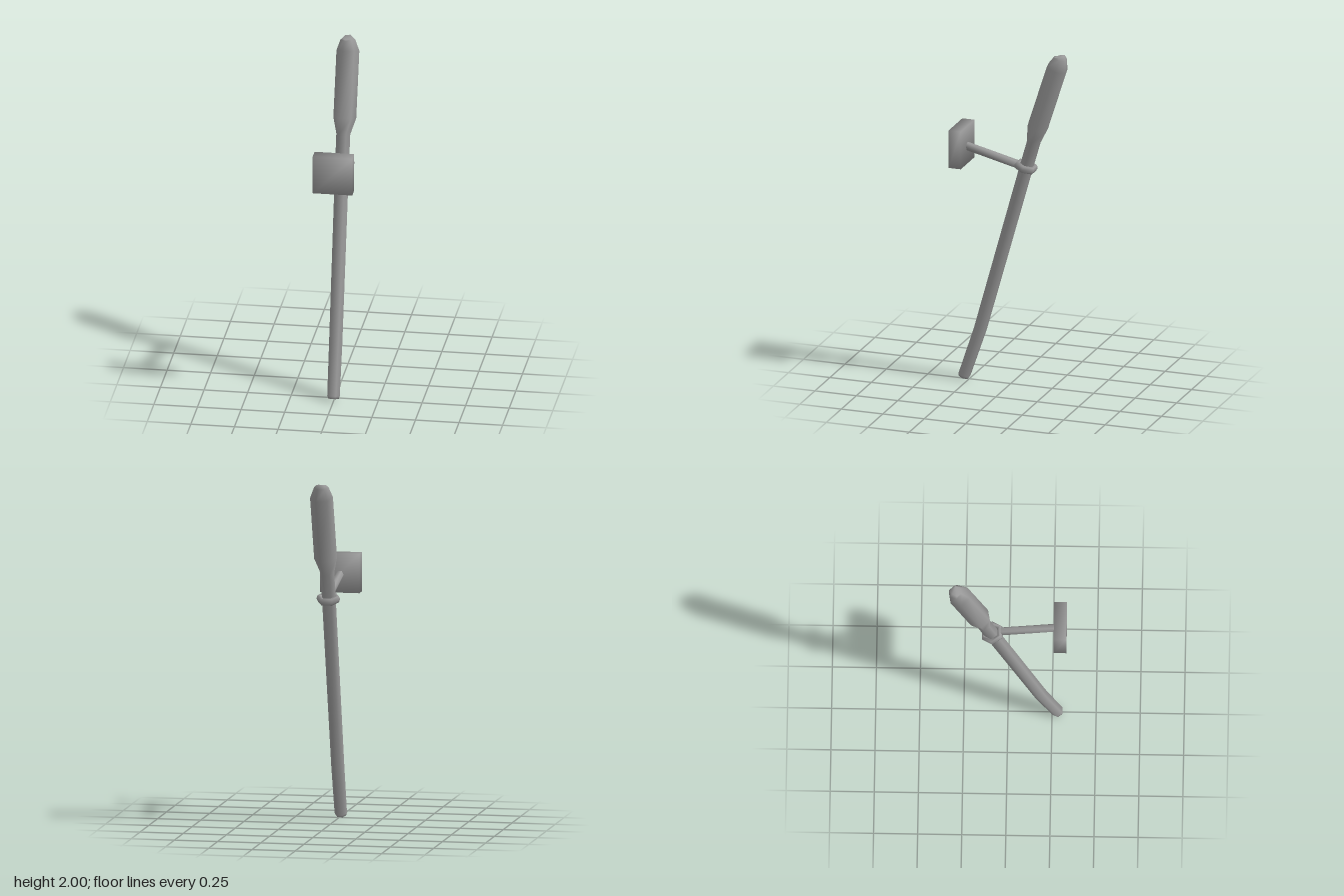
import * as THREE from 'three';
import { mergeVertices } from 'three/addons/utils/BufferGeometryUtils.js';

const SIDES = 6;
const material = new THREE.MeshStandardMaterial({ color: 0x9a9a9a });

// Weld all corners so the normals run smoothly over every edge
function soften(geometry) {
  geometry.deleteAttribute('normal');
  geometry.deleteAttribute('uv');
  const welded = mergeVertices(geometry);
  welded.computeVertexNormals();
  return welded;
}

// Closed six-sided loft through rings [x, y, z, radius, twist], square to the path
function loft(rings) {
  const centres = rings.map(([x, y, z]) => new THREE.Vector3(x, y, z));
  const positions = [];
  const index = [];
  const last = rings.length - 1;
  rings.forEach(([, , , r, twist = 0], i) => {
    const dir = centres[Math.min(i + 1, last)].clone().sub(centres[Math.max(i - 1, 0)]).normalize();
    const v = dir.clone().cross(new THREE.Vector3(1, 0, 0)).normalize();
    const u = v.clone().cross(dir);
    for (let k = 0; k < SIDES; k++) {
      const a = (k / SIDES) * Math.PI * 2 + twist;
      const p = centres[i].clone().addScaledVector(u, r * Math.cos(a)).addScaledVector(v, r * Math.sin(a));
      positions.push(p.x, p.y, p.z);
    }
  });
  for (let i = 0; i < last; i++) {
    for (let k = 0; k < SIDES; k++) {
      const a = i * SIDES + k;
      const b = i * SIDES + ((k + 1) % SIDES);
      index.push(a, b, b + SIDES, a, b + SIDES, a + SIDES);
    }
  }
  // End caps
  for (let k = 1; k < SIDES - 1; k++) {
    const top = last * SIDES;
    index.push(0, k + 1, k, top, top + k, top + k + 1);
  }
  const geometry = new THREE.BufferGeometry();
  geometry.setAttribute('position', new THREE.Float32BufferAttribute(positions, 3));
  geometry.setIndex(index);
  geometry.computeVertexNormals();
  return geometry;
}

// Box whose corner normals all point diagonally outwards
function softBox(w, h, d) {
  const geometry = soften(new THREE.BoxGeometry(w, h, d));
  const { position, normal } = geometry.attributes;
  const n = 1 / Math.sqrt(3);
  for (let i = 0; i < position.count; i++) {
    normal.setXYZ(i, n * Math.sign(position.getX(i)), n * Math.sign(position.getY(i)), n * Math.sign(position.getZ(i)));
  }
  return geometry;
}

export function createModel() {
  const group = new THREE.Group();
  const add = (name, geometry) => {
    const mesh = new THREE.Mesh(geometry, material);
    mesh.name = name;
    group.add(mesh);
    return mesh;
  };

  // Leaning torch: slightly bent shaft running into a swollen, rounded head
  add('torch', loft([
    [-0.003, 0.015, 0.285, 0.03],
    [-0.003, 0.03, 0.28, 0.036],
    [-0.005, 0.31, 0.186, 0.038],
    [-0.01, 1.315, -0.092, 0.04],
    [-0.01, 1.47, -0.136, 0.04],
    [-0.005, 1.56, -0.161, 0.065, 0.18],
    [-0.005, 1.925, -0.277, 0.065, 0.18],
    [-0.008, 1.985, -0.296, 0.042, 0.15],
    [-0.008, 1.998, -0.293, 0.03, 0.15],
  ]));

  // Hexagonal collar, tilted square to the shaft
  const collar = add('collar', soften(new THREE.TorusGeometry(0.053, 0.016, 6, SIDES).scale(1, 1, 1.4)));
  collar.position.set(-0.006, 1.315, -0.09);
  collar.quaternion.setFromUnitVectors(
    new THREE.Vector3(0, 0, 1), new THREE.Vector3(0, 1, -0.277).normalize());

  // Arm from the collar to the wall plate
  add('arm', loft([
    [0, 1.325, -0.045, 0.024],
    [0, 1.403, 0.275, 0.024],
  ]));

  // Wall plate
  const plate = add('wallPlate', softBox(0.227, 0.225, 0.073));
  plate.position.set(-0.001, 1.408, 0.297);

  return group;
}
